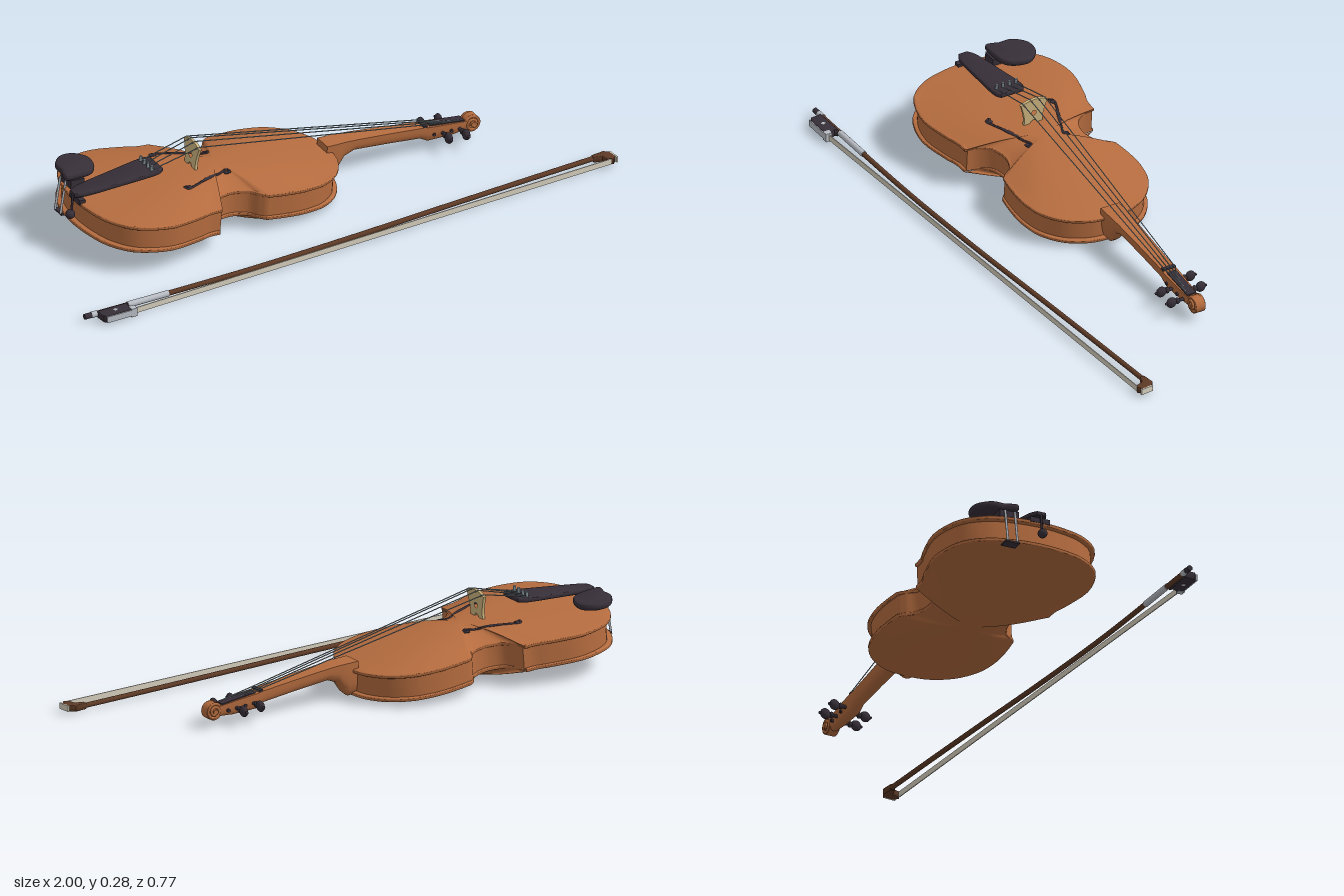
import * as THREE from 'three';
import { mergeVertices, toCreasedNormals } from 'three/addons/utils/BufferGeometryUtils.js';

const mat = (name, color, side = THREE.FrontSide) => {
  const m = new THREE.MeshStandardMaterial({ color, side });
  m.name = name;
  return m;
};
const V2 = (p) => new THREE.Vector2(p[0], p[1]);
const V3 = (p) => new THREE.Vector3(...p);

export function createModel() {
  const wood = mat('varnished wood', 0xb56c3f);
  const ebony = mat('ebony', 0x372f38);
  const maple = mat('pale maple', 0xcfb680);
  const steel = mat('string steel', 0x84949a);
  const stickWood = mat('bow wood', 0x5e3a26);
  const silver = mat('silver', 0xb9bdc4);
  const ivory = mat('bow hair', 0xd6cfbe);

  const model = new THREE.Group();
  const violin = new THREE.Group();
  violin.name = 'violin';
  const bow = new THREE.Group();
  bow.name = 'bow';
  model.add(violin, bow);

  const add = (parent, name, geo, material, pos = [0, 0, 0], rot = [0, 0, 0]) => {
    const m = new THREE.Mesh(geo, material);
    m.name = name;
    m.position.set(...pos);
    m.rotation.set(...rot);
    parent.add(m);
    return m;
  };
  const box = (x, y, z) => new THREE.BoxGeometry(x, y, z);
  const ball = (x, y, z) => new THREE.SphereGeometry(1, 20, 14).scale(x, y, z);
  const rod = (parent, name, a, b, r, material, sides = 12) => {
    const va = V3(a), d = V3(b).sub(va);
    const m = add(parent, name, new THREE.CylinderGeometry(r, r, d.length(), sides), material);
    m.position.copy(va).addScaledVector(d, 0.5);
    m.quaternion.setFromUnitVectors(new THREE.Vector3(0, 1, 0), d.normalize());
  };
  // Plan outline (x, z) turned into an upright slab of thickness h, base at y = 0
  const slab = (pts, h, bevel = 0) => {
    const shape = new THREE.Shape(pts.map((p) => new THREE.Vector2(p.x, -p.y)));
    const g = new THREE.ExtrudeGeometry(shape, {
      depth: h - 2 * bevel, bevelEnabled: bevel > 0, bevelSize: bevel, bevelThickness: bevel,
      bevelOffset: -bevel, bevelSegments: 4,
    });
    g.translate(0, 0, bevel).rotateX(-Math.PI / 2);
    return toCreasedNormals(g, 0.6);
  };

  // Body outline: lower bout, waist and upper bout, mirrored across the long axis
  const bouts = [
    [[-0.794, 0], [-0.787, 0.08], [-0.762, 0.172], [-0.7, 0.247], [-0.59, 0.28], [-0.48, 0.262], [-0.425, 0.245], [-0.382, 0.243]],
    [[-0.382, 0.243], [-0.376, 0.205], [-0.345, 0.162], [-0.29, 0.147], [-0.235, 0.163], [-0.207, 0.197], [-0.19, 0.212]],
    [[-0.19, 0.212], [-0.13, 0.22], [-0.055, 0.222], [0.03, 0.203], [0.1, 0.15], [0.14, 0.075], [0.15, 0]],
  ];
  const half = bouts.flatMap((b, i) => new THREE.SplineCurve(b.map(V2)).getPoints(24).slice(i ? 1 : 0));
  const outline = [...half, ...half.slice(1, -1).reverse().map((p) => new THREE.Vector2(p.x, -p.y))];
  const CX = -0.29, TOP = 0.094;
  const inset = (k) => outline.map((p) => new THREE.Vector2(CX + (p.x - CX) * k, p.y * k));
  const arch = (r) => Math.pow(1 - r * r, 1.15);

  // Arched plate made of shrinking copies of the outline
  const plate = (y0, height) => {
    const n = outline.length, rings = 18, pos = [], idx = [];
    for (let i = 0; i <= rings; i++) {
      const r = 1 - i / rings;
      for (const p of outline) pos.push(CX + (p.x - CX) * r, y0 + height * arch(r), p.y * r);
    }
    for (let i = 0; i < rings; i++) for (let j = 0; j < n; j++) {
      const a = i * n + j, b = i * n + (j + 1) % n, c = a + n, d = b + n;
      if (height > 0) idx.push(a, b, c, b, d, c);
      else idx.push(a, c, b, b, c, d);
    }
    const g = new THREE.BufferGeometry();
    g.setAttribute('position', new THREE.Float32BufferAttribute(pos, 3));
    g.setIndex(idx);
    const merged = mergeVertices(g, 1e-5);
    merged.computeVertexNormals();
    return merged;
  };
  // Height of the top plate at a point
  const topY = (x, z) => {
    const ang = Math.atan2(z, x - CX);
    const diff = (p) => Math.abs(Math.atan2(p.y, p.x - CX) - ang);
    const e = outline.reduce((m, p) => (diff(p) < diff(m) ? p : m));
    return TOP + 0.04 * arch(Math.min(1, Math.hypot(x - CX, z) / Math.hypot(e.x - CX, e.y)));
  };

  add(violin, 'ribs', slab(inset(0.965), 0.08), wood, [0, 0.007, 0]);
  add(violin, 'backEdge', slab(outline, 0.013, 0.004), wood);
  add(violin, 'topEdge', slab(outline, 0.013, 0.004), wood, [0, TOP - 0.013, 0]);
  add(violin, 'topPlate', plate(TOP - 0.002, 0.042), wood).scale.set(0.994, 1, 0.988);
  add(violin, 'backPlate', plate(0.002, -0.042), wood).scale.set(0.994, 1, 0.988);

  // Neck and pegbox: half-round sections given as [x, top, bottom, half width]
  const sections = [
    [0.125, 0.118, 0, 0.034], [0.16, 0.119, 0, 0.034], [0.178, 0.12, 0.018, 0.033], [0.198, 0.12, 0.056, 0.032],
    [0.235, 0.12, 0.074, 0.031], [0.36, 0.115, 0.07, 0.027], [0.485, 0.109, 0.064, 0.024],
    [0.515, 0.107, 0.05, 0.026], [0.6, 0.103, 0.053, 0.023], [0.665, 0.098, 0.062, 0.018],
  ];
  const K = 16, npos = [], nidx = [];
  for (const [x, top, bot, w] of sections) for (let j = 0; j <= K; j++) {
    const a = Math.PI * (1 + j / K), c = Math.cos(a), s = Math.sin(a);
    npos.push(x, top - Math.pow(Math.abs(s), 0.7) * (top - bot), -Math.sign(c) * Math.pow(Math.abs(c), 0.7) * w);
  }
  const row = K + 1, last = (sections.length - 1) * row;
  for (let i = 0; i < sections.length - 1; i++) for (let j = 0; j < row; j++) {
    const a = i * row + j, b = i * row + (j + 1) % row;
    nidx.push(a, b, a + row, b, b + row, a + row);
  }
  for (let j = 1; j < K; j++) nidx.push(0, j + 1, j, last, last + j, last + j + 1);
  const neckGeo = new THREE.BufferGeometry();
  neckGeo.setAttribute('position', new THREE.Float32BufferAttribute(npos, 3));
  neckGeo.setIndex(nidx);
  add(violin, 'neckAndPegbox', toCreasedNormals(neckGeo, 0.8), wood);
  add(violin, 'nut', box(0.012, 0.01, 0.048), ebony, [0.497, 0.11, 0]);
  add(violin, 'pegboxHollow', box(0.13, 0.006, 0.034), ebony, [0.58, 0.104, 0], [0, 0, -0.05]);

  // Scroll: a core with a volute spiralling outward on each cheek
  add(violin, 'scrollCore', new THREE.CylinderGeometry(0.029, 0.029, 0.034, 28).rotateX(Math.PI / 2), wood, [0.677, 0.085, 0]);
  add(violin, 'scrollEye', new THREE.CylinderGeometry(0.009, 0.009, 0.052, 16).rotateX(Math.PI / 2), wood, [0.677, 0.085, 0]);
  for (const s of [1, -1]) {
    const pts = Array.from({ length: 33 }, (_, i) => {
      const t = i / 32, a = Math.PI * (1 - 3.5 * t), r = 0.028 - 0.018 * t;
      return new THREE.Vector3(0.677 + r * Math.cos(a), 0.085 + r * Math.sin(a), s * (0.013 + 0.008 * t));
    });
    add(violin, 'scrollVolute', new THREE.TubeGeometry(new THREE.CatmullRomCurve3(pts), 70, 0.005, 8), wood);
  }

  // Pegs, alternating sides
  [[0.53, -1], [0.562, 1], [0.595, -1], [0.627, 1]].forEach(([x, s]) => {
    rod(violin, 'pegShaft', [x, 0.078, -s * 0.028], [x, 0.078, s * 0.05], 0.006, ebony);
    add(violin, 'pegCollar', ball(0.01, 0.011, 0.008), ebony, [x, 0.078, s * 0.042]);
    add(violin, 'pegHead', ball(0.012, 0.019, 0.018), ebony, [x, 0.078, s * 0.064]);
    add(violin, 'pegTip', ball(0.005, 0.005, 0.005), ebony, [x, 0.078, s * 0.083]);
  });

  // Sound holes lying on the arched top
  for (const s of [1, -1]) {
    const plan = [[-0.437, 0.118], [-0.452, 0.112], [-0.445, 0.126], [-0.41, 0.116], [-0.355, 0.093], [-0.3, 0.072], [-0.268, 0.062], [-0.262, 0.076], [-0.274, 0.073]];
    const path = new THREE.CatmullRomCurve3(plan.map(([x, z]) => new THREE.Vector3(x, topY(x, s * z), s * z)));
    add(violin, 'soundHole', new THREE.TubeGeometry(path, 60, 0.004, 6), ebony);
    for (const [x, z] of [plan[0], plan[8]]) add(violin, 'soundHoleEye', ball(0.009, 0.004, 0.009), ebony, [x, topY(x, s * z), s * z]);
    add(violin, 'soundHoleStem', ball(0.045, 0.004, 0.006), ebony, [-0.355, topY(-0.355, 0.093), s * 0.093], [0, s * 0.38, 0]);
  }

  // Bridge with arched crown, open heart and two feet
  const bridge = new THREE.Shape();
  bridge.moveTo(-0.036, 0.126);
  bridge.lineTo(-0.034, 0.145);
  bridge.quadraticCurveTo(-0.034, 0.17, -0.05, 0.213);
  bridge.quadraticCurveTo(0, 0.238, 0.05, 0.213);
  bridge.quadraticCurveTo(0.034, 0.17, 0.034, 0.145);
  bridge.lineTo(0.036, 0.126);
  bridge.lineTo(0.017, 0.126);
  bridge.quadraticCurveTo(0, 0.162, -0.017, 0.126);
  const heart = new THREE.Path();
  heart.absarc(0, 0.172, 0.009, 0, Math.PI * 2, true);
  bridge.holes.push(heart);
  const bridgeGeo = new THREE.ExtrudeGeometry(bridge, { depth: 0.01, bevelEnabled: false, curveSegments: 16 });
  add(violin, 'bridge', bridgeGeo.translate(0, 0, -0.005).rotateY(Math.PI / 2), maple, [-0.365, 0, 0]);

  // Tailpiece, its fine tuners, tail gut and end button
  const tailHalf = new THREE.SplineCurve([[0, 0.016], [0.04, 0.032], [0.16, 0.044], [0.28, 0.053], [0.315, 0.042]].map(V2)).getPoints(20);
  const tailPlan = [...tailHalf, ...tailHalf.map((p) => new THREE.Vector2(p.x, -p.y)).reverse()];
  add(violin, 'tailpiece', slab(tailPlan, 0.016, 0.005), ebony, [-0.805, 0.107, 0], [0, 0, 0.155]);
  add(violin, 'saddle', box(0.02, 0.018, 0.07), ebony, [-0.785, 0.096, 0]);
  rod(violin, 'tailGut', [-0.803, 0.045, 0], [-0.803, 0.112, 0], 0.004, ebony);
  add(violin, 'endButton', ball(0.016, 0.016, 0.016), ebony, [-0.807, 0.042, 0]);

  // Strings over the bridge to the nut and into the pegbox
  for (let i = 0; i < 4; i++) {
    const u = (i - 1.5) / 1.5, crown = 0.227 - 0.009 * u * u;
    const pts = [[-0.53, 0.167, u * 0.036], [-0.365, crown, u * 0.042], [0.497, 0.117, u * 0.019], [0.54 + 0.03 * i, 0.105, u * 0.012]];
    for (let k = 0; k < 3; k++) rod(violin, 'string', pts[k], pts[k + 1], 0.0018, steel, 6);
    rod(violin, 'fineTuner', [-0.535, 0.158, u * 0.036], [-0.535, 0.182, u * 0.036], 0.005, steel, 10);
  }

  // Chin rest with its foot and clamp
  const rest = new THREE.SplineCurve([[-0.775, -0.12], [-0.772, -0.165], [-0.735, -0.205], [-0.685, -0.205], [-0.65, -0.165], [-0.658, -0.11], [-0.69, -0.078], [-0.75, -0.07], [-0.785, -0.075], [-0.775, -0.12]].map(V2));
  add(violin, 'chinRest', slab(rest.getPoints(60).slice(0, -1).reverse().map((p) => p), 0.024, 0.009), ebony, [-0.005, 0.12, 0]);
  add(violin, 'chinRestFoot', box(0.05, 0.032, 0.07), ebony, [-0.748, 0.108, -0.1]);
  for (const z of [-0.085, -0.12]) rod(violin, 'chinRestClamp', [-0.792, -0.002, z], [-0.782, 0.115, z], 0.004, silver);
  add(violin, 'chinRestClampPlate', box(0.035, 0.006, 0.05), ebony, [-0.775, -0.003, -0.102]);

  violin.position.set(-0.005, 0.022, -0.107);
  violin.rotation.z = -0.08;

  // Bow, lying on its side: curved stick, grip and end screw
  const Y = 0.019;
  const stick = new THREE.CatmullRomCurve3([[-0.955, 0.329], [-0.7, 0.329], [-0.38, 0.325], [0, 0.307], [0.37, 0.282], [0.7, 0.261], [0.96, 0.246]].map(([x, z]) => new THREE.Vector3(x, Y, z)));
  add(bow, 'stick', new THREE.TubeGeometry(stick, 80, 0.0085, 10), stickWood);
  rod(bow, 'grip', [-0.84, Y, 0.329], [-0.69, Y, 0.329], 0.0105, silver);
  rod(bow, 'screwRing', [-0.975, Y, 0.329], [-0.95, Y, 0.329], 0.0105, silver);
  rod(bow, 'endScrew', [-1, Y, 0.329], [-0.97, Y, 0.329], 0.0095, ebony);

  // Frog with metal slide, ferrule and inlaid eyes
  const frog = [[-0.955, 0.334], [-0.952, 0.372], [-0.94, 0.381], [-0.85, 0.381], [-0.842, 0.362], [-0.85, 0.345], [-0.842, 0.334]].map(V2);
  add(bow, 'frog', slab(frog, 0.026, 0.003), ebony, [0, Y - 0.013, 0]);
  add(bow, 'frogSlide', box(0.1, 0.022, 0.005), silver, [-0.895, Y, 0.382]);
  add(bow, 'ferrule', box(0.02, 0.03, 0.022), silver, [-0.845, Y, 0.374]);
  add(bow, 'frogEye', new THREE.CylinderGeometry(0.007, 0.007, 0.028, 16), silver, [-0.9, Y, 0.357]);

  // Hair ribbon and head
  const hx = 0.985 + 0.845, hz = 0.292 - 0.374;
  add(bow, 'hair', box(Math.hypot(hx, hz), 0.02, 0.003), ivory, [0.07, Y, 0.333], [0, -Math.atan2(hz, hx), 0]);
  const head = [[0.93, 0.241], [0.975, 0.236], [0.992, 0.248], [0.996, 0.282], [0.982, 0.298], [0.968, 0.29], [0.958, 0.264], [0.93, 0.257]].map(V2);
  add(bow, 'head', slab(head.reverse(), 0.022, 0.003), stickWood, [0, Y - 0.011, 0]);
  add(bow, 'headPlate', box(0.006, 0.02, 0.045), ivory, [0.996, Y, 0.27], [0, 0.1, 0]);
  return model;
}
